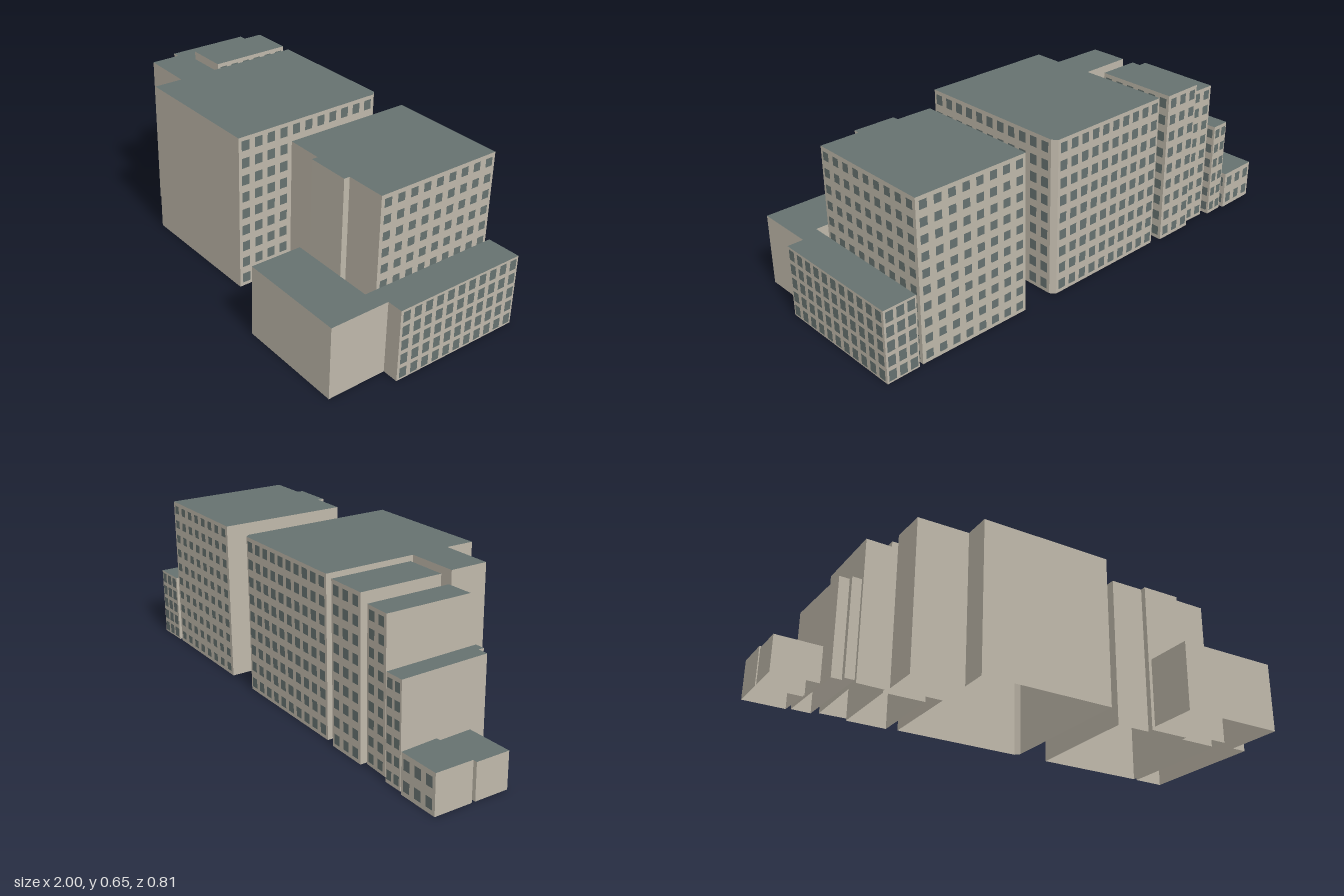
import * as THREE from 'three';
import { mergeGeometries } from 'three/addons/utils/BufferGeometryUtils.js';

// The buildings are hollow shells, open underneath
const wall = new THREE.MeshStandardMaterial({ color: 0xbfb8aa, side: THREE.DoubleSide });
wall.name = 'beige wall';
const slate = new THREE.MeshStandardMaterial({ color: 0x667270, side: THREE.DoubleSide });
slate.name = 'slate roof and glass';

// Footprints are [x, z] corners, clockwise from the back left corner.
// windowed lists the edges that carry windows; cell is the window spacing.
const BUILDINGS = [
  { name: 'lowBackHouse', h: 0.16, rows: 2, cell: 0.06, pane: [0.033, 0.042], windowed: [0, 1],
    plan: [[-1, -0.39], [-0.825, -0.395], [-0.815, -0.24], [-1, -0.235]] },
  { name: 'lowFrontHouse', h: 0.147, rows: 2, cell: 0.06, pane: [0.033, 0.042], windowed: [0, 1],
    plan: [[-1, -0.22], [-0.813, -0.228], [-0.808, -0.088], [-1, -0.08]] },
  { name: 'narrowBlock', h: 0.41, rows: 6, cell: 0.045, pane: [0.027, 0.038], windowed: [0, 1],
    plan: [[-0.808, -0.385], [-0.727, -0.388], [-0.714, 0.005], [-0.754, 0.007], [-0.754, -0.017], [-0.797, -0.015]] },
  { name: 'slimTower', h: 0.6, rows: 9, cell: 0.055, pane: [0.032, 0.038], windowed: [0, 1],
    plan: [[-0.7, -0.37], [-0.588, -0.368], [-0.586, -0.02], [-0.7, -0.015]] },
  { name: 'backTower', h: 0.642, rows: 9, cell: 0.058, pane: [0.033, 0.04], windowed: [0, 1],
    plan: [[-0.58, -0.39], [-0.407, -0.393], [-0.404, -0.05], [-0.578, -0.048]] },
  { name: 'mainBlock', h: 0.645, rows: 9, cell: 0.058, pane: [0.034, 0.041], windowed: [0, 2],
    plan: [[-0.36, -0.384], [0.195, -0.393], [0.213, -0.373], [0.224, 0.274], [-0.35, 0.283],
      [-0.35, 0.162], [-0.572, 0.162], [-0.574, 0.002], [-0.355, -0.002]] },
  { name: 'eastTower', h: 0.648, rows: 10, cell: 0.059, pane: [0.032, 0.034], windowed: [0, 1],
    plan: [[0.355, -0.394], [0.838, -0.398], [0.843, 0.133], [0.682, 0.135], [0.682, 0.159],
      [0.508, 0.16], [0.508, 0.135], [0.358, 0.135]] },
  { name: 'cornerWing', h: 0.293, rows: 5, cell: 0.051, pane: [0.032, 0.042], windowed: [0, 1],
    plan: [[0.855, -0.401], [0.993, -0.405], [1, 0.16], [0.935, 0.16], [0.938, 0.406],
      [0.495, 0.408], [0.494, 0.195], [0.857, 0.195]] },
];

// Upright panel facing out of edge i, centred at fraction t along it
function panel(plan, i, t, y, height, width, lift) {
  const [ax, az] = plan[i], [bx, bz] = plan[(i + 1) % plan.length];
  const dx = bx - ax, dz = bz - az, length = Math.hypot(dx, dz);
  const nx = dz / length, nz = -dx / length;
  return new THREE.PlaneGeometry(width ?? length, height)
    .rotateY(Math.atan2(nx, nz))
    .translate(ax + dx * t + nx * lift, y, az + dz * t + nz * lift);
}

// Regular grid of flat panes along one edge, just proud of the wall
function windowGrid(i, { plan, h, rows, cell, pane }) {
  const [ax, az] = plan[i], [bx, bz] = plan[i + 1];
  const cols = Math.max(1, Math.round(Math.hypot(bx - ax, bz - az) / cell));
  const panes = [];
  for (let c = 0; c < cols; c++) {
    for (let r = 0; r < rows; r++) {
      panes.push(panel(plan, i, (c + 0.5) / cols, h * (r + 0.5) / rows, pane[1], pane[0], 0.0015));
    }
  }
  return panes;
}

function building(spec) {
  const { name, h, plan, windowed } = spec;
  const group = new THREE.Group();
  group.name = name;
  const add = (part, geometry, material) => {
    const mesh = new THREE.Mesh(geometry, material);
    mesh.name = part;
    group.add(mesh);
  };
  // One full-height panel per footprint edge
  add('walls', mergeGeometries(plan.map((_, i) => panel(plan, i, 0.5, h / 2, h, undefined, 0))), wall);
  // Flat roof
  const outline = new THREE.Shape(plan.map(([x, z]) => new THREE.Vector2(x, -z)));
  add('roof', new THREE.ShapeGeometry(outline).rotateX(-Math.PI / 2).translate(0, h, 0), slate);
  // Windows
  add('windows', mergeGeometries(windowed.flatMap((i) => windowGrid(i, spec))), slate);
  return group;
}

export function createModel() {
  const model = new THREE.Group();
  model.name = 'cityBlock';
  BUILDINGS.forEach((spec) => model.add(building(spec)));
  return model;
}
